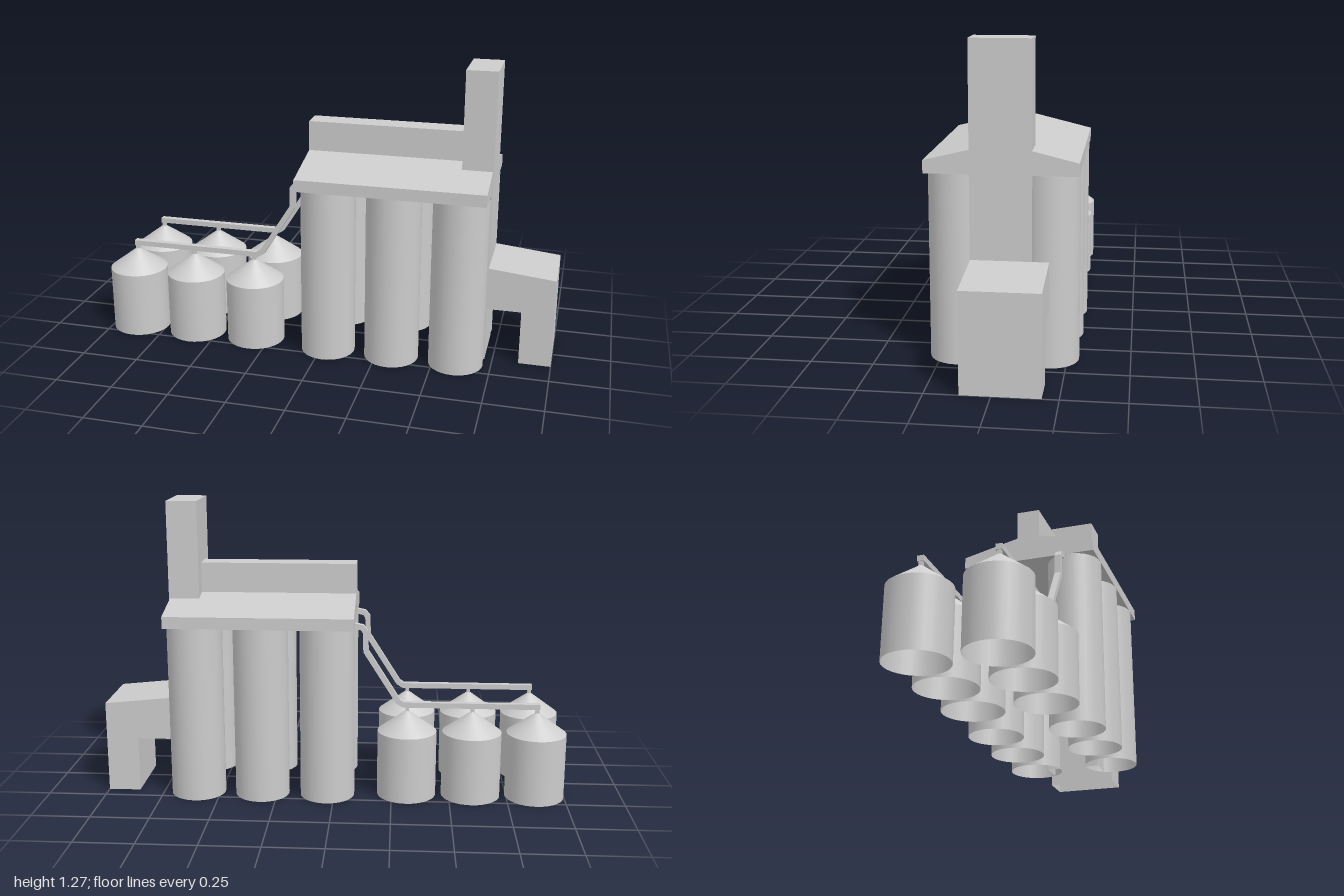
import * as THREE from 'three';

const concrete = new THREE.MeshStandardMaterial({ color: 0xcccccc, side: THREE.DoubleSide });
concrete.name = 'concrete grey';

function add(parent, name, geometry, x = 0, y = 0, z = 0) {
  const mesh = new THREE.Mesh(geometry, concrete);
  mesh.name = name;
  mesh.position.set(x, y, z);
  parent.add(mesh);
  return mesh;
}

// Extrudes an x-y outline along z, between z0 and z1
function slab(points, z0, z1) {
  const shape = new THREE.Shape(points.map(([x, y]) => new THREE.Vector2(x, y)));
  return new THREE.ExtrudeGeometry(shape, { depth: z1 - z0, bevelEnabled: false }).translate(0, 0, z0);
}

// Removes the faces lying on the ground, leaving a hollow shell
function openBottom(geometry) {
  const g = geometry.index ? geometry.toNonIndexed() : geometry;
  const p = g.getAttribute('position');
  const keep = [];
  for (let i = 0; i < p.count; i += 3) {
    if (Math.max(p.getY(i), p.getY(i + 1), p.getY(i + 2)) > 0.001) keep.push(i, i + 1, i + 2);
  }
  g.setIndex(keep);
  g.clearGroups();
  return g;
}

// Mitred band of constant width around a polyline
function band(path, halfWidth) {
  const pts = path.map(([x, y]) => new THREE.Vector2(x, y));
  const upper = [], lower = [];
  pts.forEach((p, i) => {
    const a = p.clone().sub(pts[Math.max(i - 1, 0)]).normalize();
    const b = pts[Math.min(i + 1, pts.length - 1)].clone().sub(p).normalize();
    const t = a.clone().add(b).normalize();
    const ref = i === 0 ? b : a;
    const w = halfWidth / Math.max(t.dot(ref), 0.5);
    upper.push([p.x - t.y * w, p.y + t.x * w]);
    lower.unshift([p.x + t.y * w, p.y - t.x * w]);
  });
  return [...lower, ...upper];
}

export function createModel() {
  const model = new THREE.Group();
  model.name = 'grainElevator';

  const tallSilo = new THREE.CylinderGeometry(0.118, 0.118, 0.76, 32, 1, true);
  const binWall = new THREE.CylinderGeometry(0.128, 0.128, 0.29, 32, 1, true);
  const binRoof = new THREE.ConeGeometry(0.128, 0.095, 32, 1, true);
  const spout = new THREE.BoxGeometry(0.016, 0.035, 0.016);
  const pipePath = [[-0.882, 0.407], [-0.298, 0.407], [-0.275, 0.421], [-0.135, 0.642],
    [-0.132, 0.728], [-0.118, 0.746], [-0.08, 0.754]];
  const pipe = slab(band(pipePath, 0.0115), -0.0135, 0.0135);

  for (const side of [1, -1]) {
    const row = side > 0 ? 'front' : 'back';

    // Tall storage silos under the main roof
    for (const x of [0.03, 0.315, 0.598]) add(model, row + 'TallSilo', tallSilo, x, 0.38, side * 0.179);

    // Small conical-roofed bins with filling spouts
    for (const x of [-0.872, -0.595, -0.315]) {
      const bin = new THREE.Group();
      bin.name = row + 'SmallBin';
      bin.position.set(x, 0, side * 0.152);
      add(bin, 'binWall', binWall, 0, 0.145, 0);
      add(bin, 'binRoof', binRoof, 0, 0.3375, 0);
      add(bin, 'spout', spout, 0, 0.385, 0);
      model.add(bin);
    }

    // Feed pipe from the roof down along the bins
    add(model, row + 'FeedPipe', pipe, 0, 0, side * 0.152);
  }

  // Main gabled roof, profile drawn across z and extruded along x
  const roof = slab([[-0.297, 0.76], [0.297, 0.76], [0.297, 0.811], [0.05, 0.871],
    [-0.05, 0.871], [-0.297, 0.811]], -0.712, 0.088);
  roof.rotateY(-Math.PI / 2);
  add(model, 'mainRoof', roof);

  // Raised gallery along the ridge
  add(model, 'ridgeGallery', new THREE.BoxGeometry(0.673, 0.14, 0.1), 0.2485, 0.93, 0);

  // Lift tower running from the ground through the roof
  const tower = new THREE.BoxGeometry(0.131, 1.272, 0.238).translate(0.6505, 0.636, 0);
  add(model, 'liftTower', openBottom(tower));

  // Loading shed with a drive-through passage
  const shed = slab([[0.716, 0.24], [0.862, 0.24], [0.862, 0], [1, 0], [1, 0.398], [0.716, 0.427]],
    -0.186, 0.118);
  add(model, 'loadingShed', openBottom(shed));

  return model;
}
